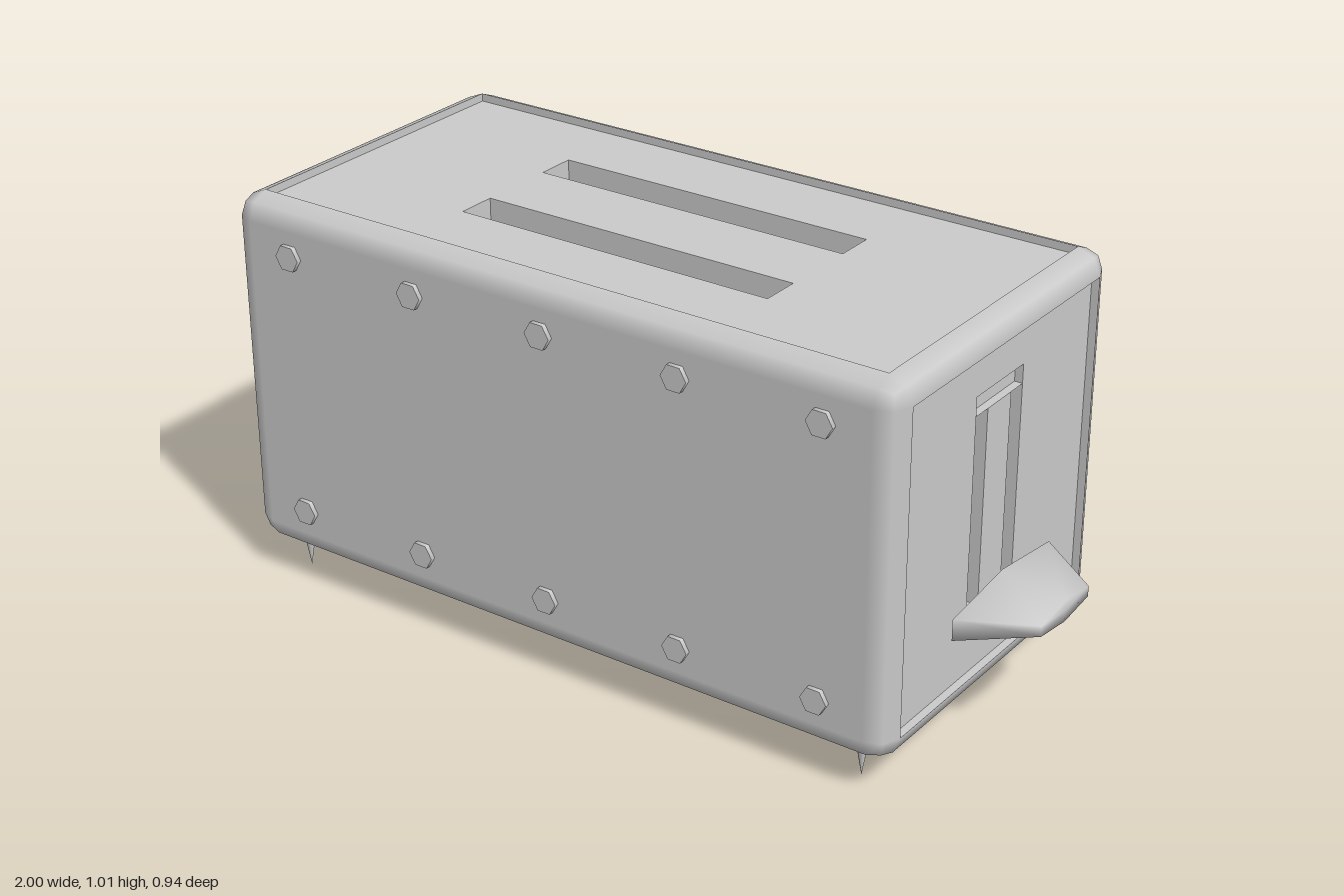
import * as THREE from 'three';
import { mergeVertices } from 'three/addons/utils/BufferGeometryUtils.js';
import { RoundedBoxGeometry } from 'three/addons/geometries/RoundedBoxGeometry.js';

const grey = new THREE.MeshStandardMaterial({ color: 0xcccccc });

function add(parent, name, geometry, x = 0, y = 0, z = 0) {
  const mesh = new THREE.Mesh(geometry, grey);
  mesh.name = name;
  mesh.position.set(x, y, z);
  parent.add(mesh);
  return mesh;
}

// Rounded shell with its flat top and lever-side faces left open
function shellGeometry(w, h, d, r) {
  const g = new RoundedBoxGeometry(w, h, d, 1, r);
  const p = g.attributes.position;
  const keep = [];
  for (let i = 0; i < p.count; i += 3) {
    const tri = [i, i + 1, i + 2];
    const open = tri.every((k) => p.getY(k) > h / 2 - 1e-4) || tri.every((k) => p.getX(k) > w / 2 - 1e-4);
    if (!open) keep.push(...tri);
  }
  g.setIndex(keep);
  g.clearGroups();
  return g;
}

// Inward-facing box, open towards +z, with or without a floor
function trayGeometry(x0, y0, x1, y1, top, depth, floor = true) {
  const g = new THREE.BoxGeometry(x1 - x0, y1 - y0, depth);
  const sides = Array.from(g.index.array).filter((_, i) => i < 24 || (floor && i >= 30));
  g.setIndex(sides.reverse());
  g.clearGroups();
  const n = g.attributes.normal;
  for (let i = 0; i < n.array.length; i++) n.array[i] *= -1;
  g.translate((x0 + x1) / 2, (y0 + y1) / 2, top - depth / 2);
  return g;
}

// Sunken panel with openings, facing local +z
function sunkenPanel(name, w, h, depth, holes) {
  const group = new THREE.Group();
  group.name = name;
  const outline = (pts) => pts.map(([x, y]) => new THREE.Vector2(x, y));
  const x = w / 2, y = h / 2;
  const shape = new THREE.Shape(outline([[-x, -y], [x, -y], [x, y], [-x, y]]));
  shape.holes = holes.map((pts) => new THREE.Path(outline(pts)));
  add(group, name + 'Face', new THREE.ShapeGeometry(shape), 0, 0, -depth);
  add(group, name + 'Rim', trayGeometry(-x, -y, x, y, 0, depth, false));
  return group;
}

export function createModel() {
  const model = new THREE.Group();
  model.name = 'toaster';
  const sunk = 0.02;

  // Housing
  add(model, 'housing', shellGeometry(1.83, 0.914, 0.918, 0.06), -0.085, 0.553, 0.003);

  // Top panel with two bread slots
  const slotRect = (y) => [[-0.425, y - 0.05], [0.425, y - 0.05], [0.425, y + 0.05], [-0.425, y + 0.05]];
  const top = sunkenPanel('topPanel', 1.71, 0.798, sunk, [slotRect(-0.15), slotRect(0.15)]);
  top.position.set(-0.085, 1.01, 0.003);
  top.rotation.x = -Math.PI / 2;
  for (const y of [-0.15, 0.15]) {
    add(top, 'breadSlot', trayGeometry(-0.425, y - 0.05, 0.425, y + 0.05, -sunk, 0.4));
  }
  model.add(top);

  // Lever-side panel with an arch-shaped track
  const low = -0.24, mid = 0.247, high = 0.294, inner = 0.05, outer = 0.1;
  const arch = [[-outer, low], [-inner, low], [-inner, mid], [inner, mid],
    [inner, low], [outer, low], [outer, high], [-outer, high]];
  const side = sunkenPanel('leverPanel', 0.798, 0.794, sunk, [arch]);
  side.position.set(0.83, 0.553, 0.003);
  side.rotation.y = Math.PI / 2;
  add(side, 'trackTop', trayGeometry(-outer, mid, outer, high, -sunk, 0.02));
  add(side, 'trackLeg', trayGeometry(-outer, low, -inner, mid, -sunk, 0.08));
  add(side, 'trackLeg', trayGeometry(inner, low, outer, mid, -sunk, 0.08));
  model.add(side);

  // Lever: tapered six-sided handle, softly shaded
  let lever = new THREE.CylinderGeometry(0.5, 1, 0.16, 6);
  lever.rotateZ(-Math.PI / 2);
  lever.rotateX(Math.PI / 2);
  // put a corner at the top and bottom
  const p = lever.attributes.position;
  let topCorner = 0;
  for (let i = 0; i < p.count; i++) topCorner = Math.max(topCorner, p.getY(i));
  if (topCorner < 0.95) lever.rotateX(Math.PI / 6);
  lever.scale(1, 0.053, 0.247);
  lever.deleteAttribute('uv');
  lever.deleteAttribute('normal');
  lever = mergeVertices(lever, 1e-4);
  lever.computeVertexNormals();
  add(model, 'lever', lever, 0.92, 0.338, 0.002);

  // Hexagonal bolts along the front and back
  const bolt = new THREE.CylinderGeometry(0.034, 0.034, 0.04, 6);
  bolt.rotateY(Math.PI / 2);
  bolt.rotateX(Math.PI / 2);
  for (const z of [-0.45, 0.454]) {
    for (const y of [0.22, 0.888]) {
      for (let i = 0; i < 5; i++) add(model, 'bolt', bolt, -0.82 + i * 0.3675, y, z);
    }
  }

  // Spiked feet
  const foot = new THREE.ConeGeometry(0.017, 0.1, 12);
  foot.rotateX(Math.PI);
  for (const x of [-0.905, 0.717]) {
    for (const z of [-0.361, 0.372]) add(model, 'foot', foot, x, 0.053, z);
  }

  return model;
}
